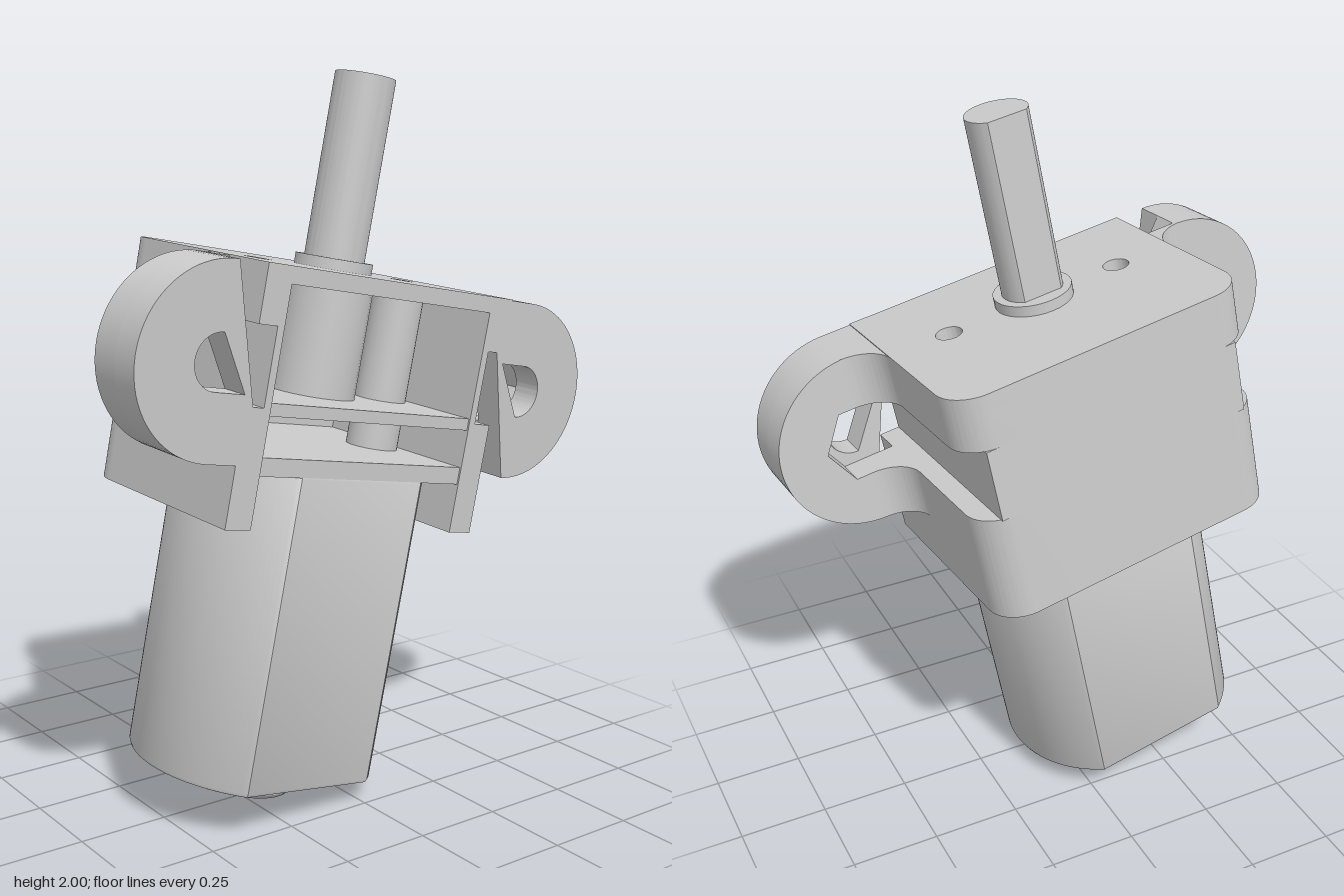
import * as THREE from 'three';
import { toCreasedNormals } from 'three/addons/utils/BufferGeometryUtils.js';

const MID = 1.222;   // height of the ear centres
const FRONT = 0.275; // front face of the bracket
const BACK = -0.372; // back face of the bracket

export function createModel() {
  const model = new THREE.Group();
  model.name = 'gearMotor';
  const mat = new THREE.MeshStandardMaterial({ color: 0xcccccc });

  const add = (parent, name, geo) => {
    const mesh = new THREE.Mesh(toCreasedNormals(geo, 0.5), mat);
    mesh.name = name;
    parent.add(mesh);
    return mesh;
  };
  const polygon = (pts) => new THREE.Shape(pts.map(([x, y]) => new THREE.Vector2(x, y)));
  const circle = (x, y, r) => new THREE.Path().absarc(x, y, r, 0, Math.PI * 2);
  const extrude = (shape, depth, extra = {}) =>
    new THREE.ExtrudeGeometry(shape, { depth, bevelEnabled: false, curveSegments: 20, ...extra });
  // Plan shape (x, z) raised from y0 to y1
  const slab = (name, shape, y0, y1) =>
    add(model, name, extrude(shape, y1 - y0).rotateX(Math.PI / 2).translate(0, y1, 0));
  const rod = (name, r, y0, y1, x = 0) =>
    add(model, name, new THREE.CylinderGeometry(r, r, y1 - y0, 32).translate(x, (y0 + y1) / 2, 0));
  // Circle cut by flats at z = zMin and z = zMax
  const flatted = (r, zMin, zMax) => {
    const a = Math.asin(Math.max(zMin / r, -1)), b = Math.asin(Math.min(zMax / r, 1));
    const s = new THREE.Shape();
    s.absarc(0, 0, r, a, b, false);
    s.absarc(0, 0, r, Math.PI - b, Math.PI - a, false);
    s.closePath();
    return s;
  };

  // Motor can with a softened bottom edge, and its rounded end cap
  const bevel = 0.012;
  add(model, 'motorCan', extrude(flatted(0.343, -0.275, 0.272), 0.87 - 2 * bevel, {
    bevelEnabled: true, bevelSize: bevel, bevelThickness: bevel, bevelOffset: -bevel, bevelSegments: 2,
  }).rotateX(Math.PI / 2).translate(0, 0.955 - bevel, 0));
  const capProfile = [[0, 0], [0.105, 0], [0.125, 0.006], [0.138, 0.02], [0.143, 0.04], [0.143, 0.1]];
  add(model, 'endCap', new THREE.LatheGeometry(capProfile.map(([x, y]) => new THREE.Vector2(x, y)), 40));

  // Gearbox plates, posts and bearing boss
  const plate = polygon([[-0.35, -0.29], [0.35, -0.29], [0.35, 0.27], [-0.35, 0.27]]);
  slab('lowerPlate', plate, 0.947, 0.995);
  slab('middlePlate', plate, 1.1, 1.133);
  for (const x of [-0.255, 0.255]) rod('post', 0.074, 0.99, 1.432, x);
  rod('bearingBoss', 0.12, 1.13, 1.432);

  // Output shaft with a flat on its back
  rod('collar', 0.107, 1.47, 1.505);
  slab('shaft', flatted(0.083, -0.062, 1), 1.47, 1.997);

  // Bracket outline in plan, with rounded back corners
  const outline = (w, r) => {
    const s = new THREE.Shape();
    s.moveTo(w, FRONT);
    if (r > 0) {
      s.lineTo(w, BACK + r);
      s.absarc(w - r, BACK + r, r, 0, -Math.PI / 2, true);
      s.absarc(-w + r, BACK + r, r, -Math.PI / 2, -Math.PI, true);
    } else {
      s.lineTo(w, BACK);
      s.lineTo(-w, BACK);
    }
    s.lineTo(-w, FRONT);
    return s;
  };
  // Wall open at the front: the outline continued round the cavity
  const wall = (w, r) => {
    const s = outline(w, r);
    for (const [x, z] of [[-0.35, FRONT], [-0.35, -0.29], [0.35, -0.29], [0.35, FRONT]]) s.lineTo(x, z);
    s.closePath();
    return s;
  };
  slab('lowerWall', wall(0.43, 0.1), 0.81, MID - 0.102);
  slab('recessedWall', wall(0.372, 0), MID - 0.102, MID + 0.102);
  slab('upperWall', wall(0.43, 0.1), MID + 0.102, 1.43);
  const top = outline(0.43, 0.1);
  top.holes.push(circle(-0.258, 0, 0.036), circle(0.258, 0, 0.036));
  slab('topPlate', top, 1.43, 1.475);

  // Mounting ears: front plate with slot, back rim with nut channel
  const R = 0.25, cx = 0.517, backZ = 0.1, plateZ = 0.19;
  const earFace = new THREE.Shape();
  earFace.moveTo(0.36, -R);
  earFace.absarc(cx, 0, R, -Math.PI / 2, Math.PI / 2, false);
  earFace.lineTo(0.36, R);
  earFace.closePath();
  const slot = new THREE.Path();
  slot.moveTo(cx - 0.08, -0.073);
  slot.absarc(cx + 0.01, 0, 0.073, -Math.PI / 2, Math.PI / 2, false);
  slot.lineTo(cx - 0.08, 0.073);
  slot.closePath();
  earFace.holes.push(slot);

  const rim = new THREE.Shape();
  rim.moveTo(0.4, -R);
  rim.absarc(cx, 0, R, -Math.PI / 2, Math.PI / 2, false);
  for (const [x, y] of [[0.4, R], [0.4, 0.102], [cx + 0.059, 0.102], [cx + 0.118, 0],
    [cx + 0.059, -0.102], [0.4, -0.102]]) rim.lineTo(x, y);
  rim.closePath();

  // Concave blend between side wall and ear, in plan
  const blend = new THREE.Shape();
  blend.moveTo(0.42, backZ + 0.01);
  blend.lineTo(0.42, backZ - 0.1);
  blend.lineTo(0.43, backZ - 0.1);
  blend.absarc(0.53, backZ - 0.1, 0.1, Math.PI, Math.PI / 2, true);
  blend.lineTo(0.53, backZ + 0.01);
  blend.closePath();

  for (const [name, turn] of [['leftEar', 0], ['rightEar', Math.PI]]) {
    const ear = new THREE.Group();
    ear.name = name;
    ear.position.y = MID;
    ear.rotation.z = turn;
    add(ear, 'earPlate', extrude(earFace, FRONT - plateZ).translate(0, 0, plateZ));
    add(ear, 'earRim', extrude(rim, plateZ - backZ).translate(0, 0, backZ));
    for (const y1 of [R, -0.102])
      add(ear, 'earBlend', extrude(blend, R - 0.102).rotateX(Math.PI / 2).translate(0, y1, 0));
    model.add(ear);
  }

  // Lean the whole unit
  const up = new THREE.Vector3(0.173, 0.984, 0.048).normalize();
  const side = new THREE.Vector3(0.983, -0.17, -0.053);
  const front = side.clone().cross(up).normalize();
  side.crossVectors(up, front);
  model.setRotationFromMatrix(new THREE.Matrix4().makeBasis(side, up, front));
  model.position.set(-0.222, 0.02, -0.023);

  const root = new THREE.Group();
  root.name = 'model';
  root.add(model);
  return root;
}
